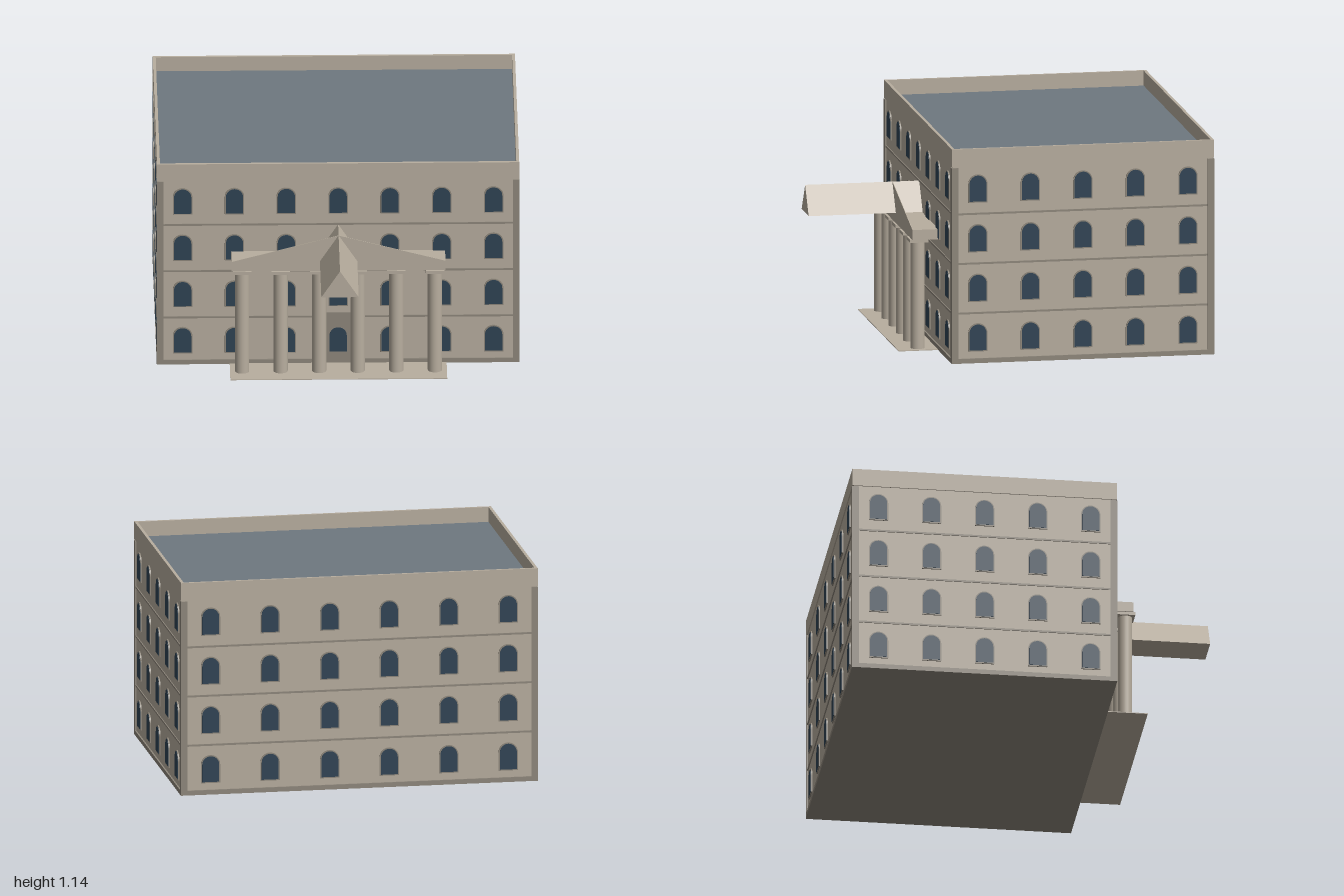
import * as THREE from 'three';

const mat = (name, color, side = THREE.FrontSide) => {
  const m = new THREE.MeshStandardMaterial({ color, side });
  m.name = name;
  return m;
};

export function createModel() {
  const stone = mat('stone', 0xb8ae9f);
  const stoneSheet = stone;
  const trim = mat('darkTrim', 0x8f887c);
  const glass = mat('windowGlass', 0x2f4354);
  const roofMat = mat('roofGrey', 0x6e7880);

  const model = new THREE.Group();
  const W = 1.9, D = 1.4, CZ = -0.3, FLOOR = 0.265, FLOORS = 4;

  const add = (name, geo, material, x = 0, y = 0, z = 0, parent = model) => {
    const m = new THREE.Mesh(geo, material);
    m.name = name;
    m.position.set(x, y, z);
    parent.add(m);
    return m;
  };
  // box given by its centre in x and z and its bottom in y
  const box = (name, material, w, h, d, x, y, z, parent) =>
    add(name, new THREE.BoxGeometry(w, h, d), material, x, y + h / 2, z, parent);

  // main block, plinth and roof
  box('walls', stone, W - 0.016, 1.04, D - 0.016, 0, 0.015, CZ);
  box('plinth', trim, W, 0.025, D, 0, 0, CZ);
  box('roof', roofMat, W - 0.03, 0.02, D - 0.03, 0, 1.045, CZ);

  // string courses between the floors
  for (let i = 1; i < FLOORS; i++) {
    box('stringCourse', trim, W - 0.006, 0.01, D - 0.006, 0, i * FLOOR - 0.003, CZ);
  }

  // corner pilasters
  for (const sx of [-1, 1]) for (const sz of [-1, 1]) {
    box('cornerPilaster', trim, 0.035, 1.045, 0.035, sx * (W / 2 - 0.0175), 0, CZ + sz * (D / 2 - 0.0175));
  }

  // parapet ring
  const rect = (Type, w, d) => {
    const r = new Type();
    r.moveTo(-w / 2, -d / 2);
    r.lineTo(w / 2, -d / 2);
    r.lineTo(w / 2, d / 2);
    r.lineTo(-w / 2, d / 2);
    r.closePath();
    return r;
  };
  const ring = rect(THREE.Shape, W - 0.003, D - 0.003);
  ring.holes.push(rect(THREE.Path, W - 0.034, D - 0.034));
  const parapetGeo = new THREE.ExtrudeGeometry(ring, { depth: 0.095, bevelEnabled: false });
  parapetGeo.rotateX(-Math.PI / 2);
  add('parapet', parapetGeo, stone, 0, 1.05, CZ);

  // round-headed windows
  const archGeo = (w, bottom, top, depth) => {
    const r = w / 2, s = new THREE.Shape();
    s.moveTo(-r, bottom);
    s.lineTo(r, bottom);
    s.lineTo(r, top - r);
    s.absarc(0, top - r, r, 0, Math.PI, false);
    s.closePath();
    return new THREE.ExtrudeGeometry(s, { depth, bevelEnabled: false, curveSegments: 10 });
  };
  const frameGeo = archGeo(0.102, 0.062, 0.212, 0.007);
  const paneGeo = archGeo(0.09, 0.068, 0.206, 0.009);

  // one facade of windows, facing +z before it is turned
  const facade = (name, count, width, x, z, turn) => {
    const g = new THREE.Group();
    g.name = name;
    g.position.set(x, 0, z);
    g.rotation.y = turn;
    for (let f = 0; f < FLOORS; f++) {
      for (let i = 0; i < count; i++) {
        const px = (i + 0.5 - count / 2) * width / count;
        add('windowFrame', frameGeo, trim, px, f * FLOOR, -0.008, g);
        add('windowPane', paneGeo, glass, px, f * FLOOR, -0.008, g);
      }
    }
    model.add(g);
  };
  facade('frontWindows', 7, W, 0, CZ + D / 2, 0);
  facade('backWindows', 6, W, 0, CZ - D / 2, Math.PI);
  facade('leftWindows', 5, D, W / 2, CZ, Math.PI / 2);
  facade('rightWindows', 5, D, -W / 2, CZ, -Math.PI / 2);

  // door panel behind the middle window
  box('door', trim, 0.128, 0.29, 0.008, 0, 0, 0.3955);

  // portico floor, columns and capitals
  box('porticoFloor', stone, 1.136, 0.004, 0.21, 0, 0, 0.505);
  const columnGeo = new THREE.CylinderGeometry(0.0375, 0.0375, 0.575, 24);
  for (let i = 0; i < 6; i++) {
    const x = (i - 2.5) * 0.202;
    add('column', columnGeo, stone, x, 0.2875, 0.498);
    box('capital', stone, 0.097, 0.017, 0.097, x, 0.574, 0.498);
  }

  // entablature with a thin gable on its front edge
  box('entablature', stone, 1.12, 0.054, 0.14, 0, 0.59, 0.465);
  const gable = (half, depth) => {
    const s = new THREE.Shape();
    s.moveTo(-half, 0);
    s.lineTo(half, 0);
    s.lineTo(0, 0.148);
    s.closePath();
    return new THREE.ExtrudeGeometry(s, { depth, bevelEnabled: false });
  };
  add('pediment', gable(0.56, 0.003), stoneSheet, 0, 0.644, 0.532);

  // ridged canopy running forward from the wall
  add('canopy', gable(0.098, 0.61), stone, 0, 0.645, 0.39);

  return model;
}
